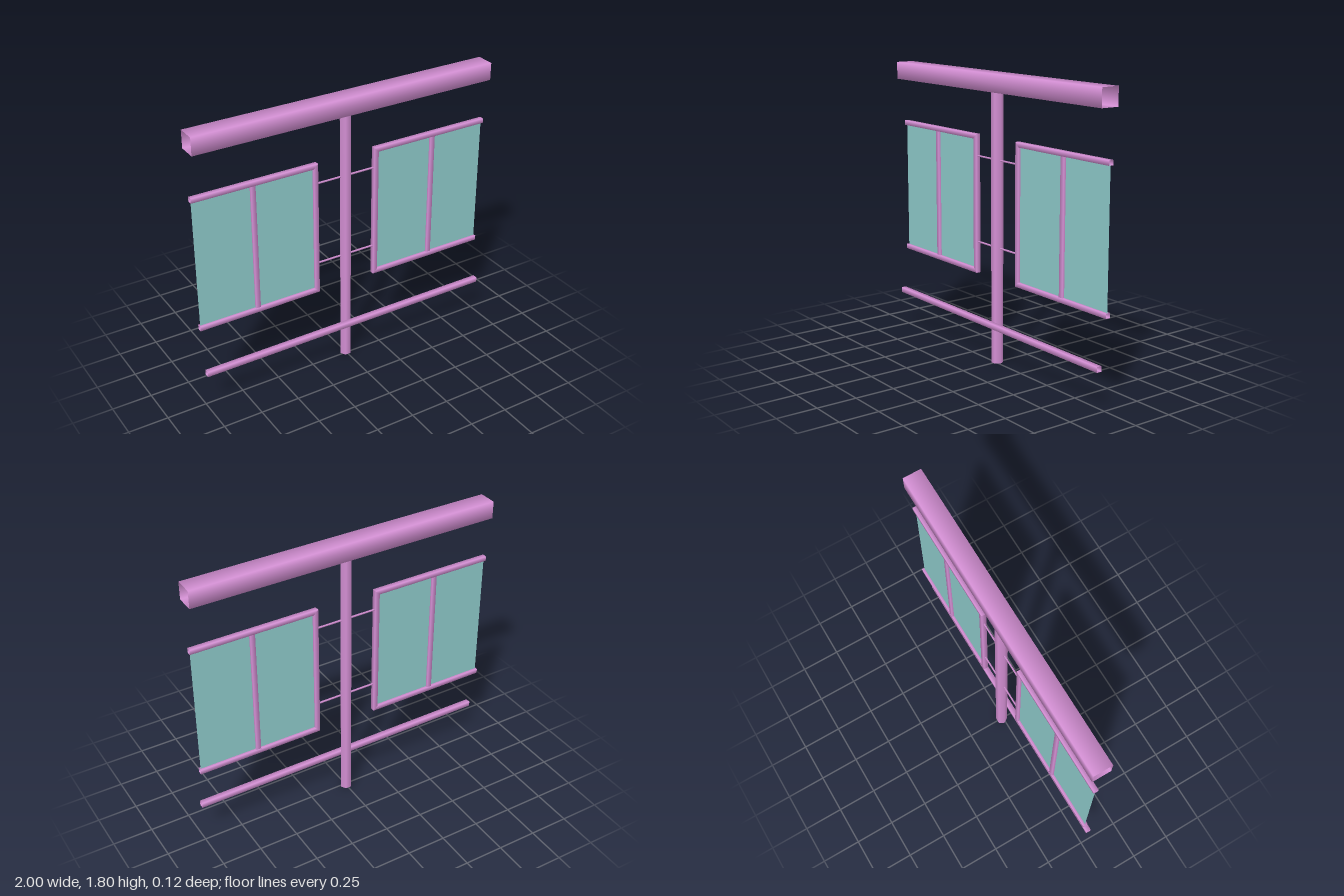
import * as THREE from 'three';

const frameMat = new THREE.MeshStandardMaterial({ color: 0xd48fd4, side: THREE.DoubleSide });
const panelMat = new THREE.MeshStandardMaterial({ color: 0x8cc8c8, side: THREE.DoubleSide });

// Open square tube standing on y, w across x and d across z
function squareTube(length, w, d = w) {
  const g = new THREE.CylinderGeometry(Math.SQRT1_2, Math.SQRT1_2, 1, 4, 1, true, Math.PI / 4);
  return g.scale(w, length, d);
}

function add(parent, name, geometry, material = frameMat) {
  const mesh = new THREE.Mesh(geometry, material);
  mesh.name = name;
  parent.add(mesh);
  return mesh;
}

// Square tube lying along x from x0 to x1
function barX(x0, x1, y, z, h, d = h) {
  return squareTube(x1 - x0, h, d).rotateZ(Math.PI / 2).translate((x0 + x1) / 2, y, z);
}

// Move each vertex by a rule
function bend(geometry, rule) {
  const p = geometry.attributes.position;
  const v = new THREE.Vector3();
  for (let i = 0; i < p.count; i++) {
    v.fromBufferAttribute(p, i);
    rule(v);
    p.setXYZ(i, v.x, v.y, v.z);
  }
  return geometry;
}

export function createModel() {
  const model = new THREE.Group();
  model.name = 'panelStand';

  // Six-sided post with corners on the x axis
  const post = new THREE.CylinderGeometry(0.037, 0.037, 1.69, 6, 1, true, Math.PI / 2);
  add(model, 'post', post.translate(0, 0.845, -0.011));

  // Wide beam on top, thin rail running across the front of the post
  add(model, 'topBeam', barX(-0.997, 0.992, 1.743, -0.001, 0.11, 0.117));
  add(model, 'lowerRail', barX(-0.997, 0.992, 0.251, 0.038, 0.033));

  // Thin rods joining the two frames through the post
  for (const y of [0.735, 1.276]) add(model, 'tieRod', barX(-0.2, 0.2, y, -0.011, 0.009));

  // Three-sided frames, open at the outer end, mitred at the inner corners
  const t = 0.03, z = -0.011, inner = 0.209, outer = 1;
  const yBottom = 0.55, yTop = 1.395, yMid = (yBottom + yTop) / 2;
  for (const s of [1, -1]) {
    const frame = new THREE.Group();
    frame.name = s > 0 ? 'leftFrame' : 'rightFrame';
    model.add(frame);

    for (const [name, y, up] of [['topBar', yTop, 1], ['bottomBar', yBottom, -1]]) {
      const bar = barX(Math.min(s * inner, s * outer), Math.max(s * inner, s * outer), y, z, t);
      add(frame, name, bend(bar, (v) => {
        if (Math.abs(v.x) < 0.5) v.x -= s * up * (v.y - y);
      }));
    }

    const upright = squareTube(yTop - yBottom, t).translate(s * inner, yMid, z);
    add(frame, 'upright', bend(upright, (v) => {
      v.y -= (v.y > yMid ? 1 : -1) * s * (v.x - s * inner);
    }));

    // Divider and the thin panel passing through it
    add(frame, 'divider', squareTube(yTop - yBottom - t, t).translate(s * 0.617, yMid, z));
    const panel = new THREE.PlaneGeometry(0.785, yTop - yBottom - 0.02);
    add(frame, 'panel', panel.translate(s * 0.602, yMid, z), panelMat);
  }

  return model;
}
